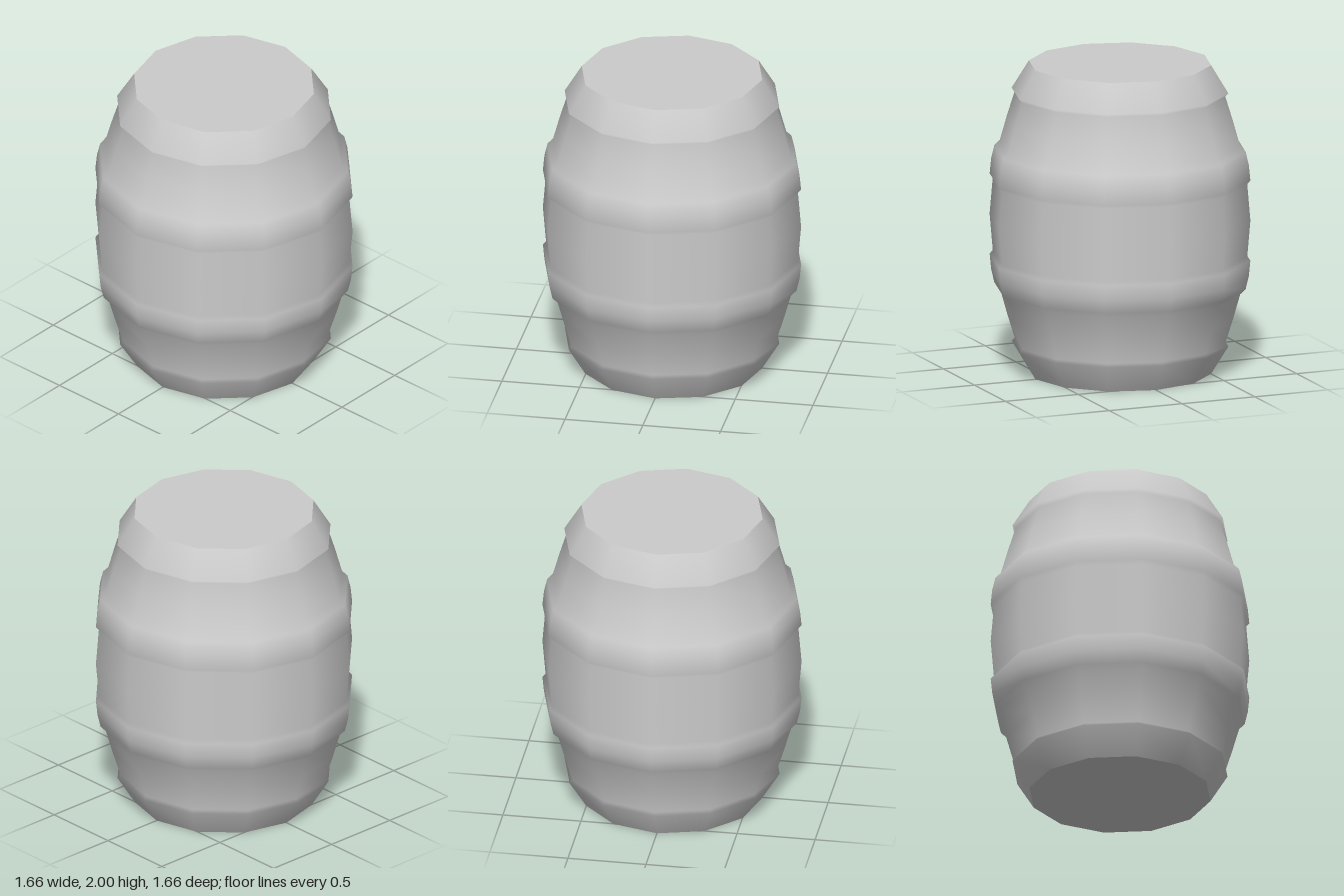
import * as THREE from 'three';

const SIDES = 12;
const END_RADIUS = 0.58;

export function createModel() {
  const group = new THREE.Group();
  group.name = 'barrel';
  const material = new THREE.MeshStandardMaterial({ color: 0xcccccc });

  // Lower half of the profile [radius, y]: end hoop, staves, middle hoop, belly
  const lower = [
    [END_RADIUS, 0], [0.69, 0.18], [0.67, 0.2],
    [0.72, 0.36], [0.765, 0.52], [0.8, 0.555],
    [0.82, 0.64], [0.83, 0.74], [0.81, 0.765],
  ];
  // Mirror about mid height
  const upper = lower.map(([r, y]) => [r, 2 - y]).reverse();
  const profile = [...lower, [0.83, 1], ...upper].map(([r, y]) => new THREE.Vector2(r, y));

  const body = new THREE.Mesh(new THREE.LatheGeometry(profile, SIDES), material);
  body.name = 'stavesAndHoops';
  group.add(body);

  // Flat heads closing both ends
  for (const [name, y, tilt] of [['topHead', 2, -Math.PI / 2], ['bottomHead', 0, Math.PI / 2]]) {
    const head = new THREE.Mesh(new THREE.CircleGeometry(END_RADIUS, SIDES), material);
    head.name = name;
    head.rotation.x = tilt;
    head.position.y = y;
    group.add(head);
  }
  return group;
}
